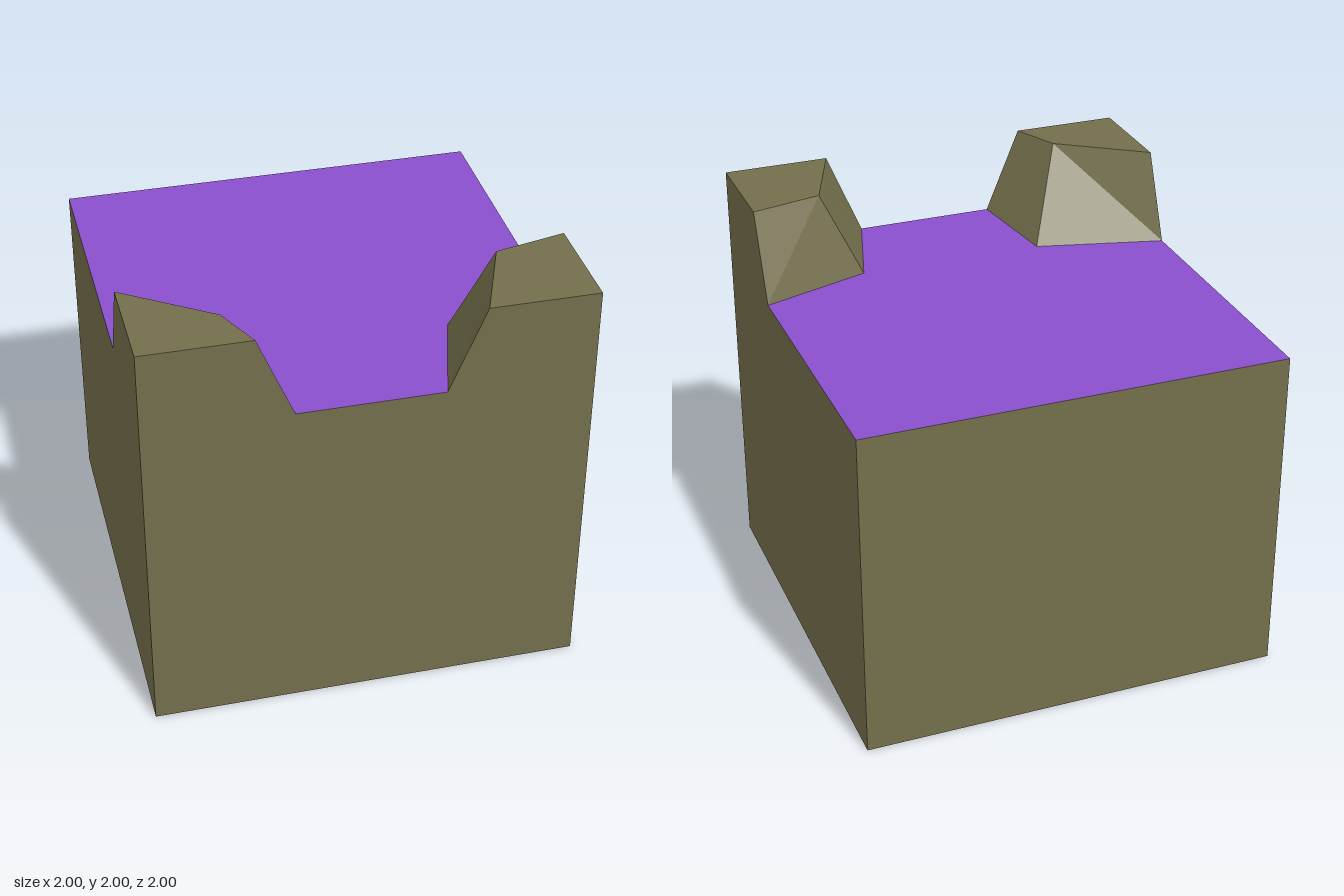
import * as THREE from 'three';

const BASE_Y = 1.6, TOP_Y = 2, THIRD = 0.333;

// Tapered corner block; side is +1 or -1 in x, inner corners are [|x|, z]
function cornerBlock(side, innerBase, innerTop) {
  const ring = (y, edge, inner) =>
    [[1, edge], inner, [edge, 1], [1, 1]].flatMap(([x, z]) => [side * x, y, z]);
  const points = [...ring(BASE_Y, THIRD, innerBase), ...ring(TOP_Y, 0.5, innerTop)];
  const faces = [
    [0, 1, 5], [0, 5, 4], // back slope
    [1, 2, 5], [2, 6, 5], // inner slope
    [2, 3, 7], [2, 7, 6], // front wall
    [3, 0, 4], [3, 4, 7], // outer wall
    [4, 5, 6], [4, 6, 7], // top
  ];
  const index = faces.flatMap(([a, b, c]) => (side > 0 ? [a, b, c] : [a, c, b]));
  const indexed = new THREE.BufferGeometry();
  indexed.setAttribute('position', new THREE.Float32BufferAttribute(points, 3));
  indexed.setIndex(index);
  const geometry = indexed.toNonIndexed();
  geometry.computeVertexNormals();
  return geometry;
}

export function createModel() {
  const group = new THREE.Group();
  group.name = 'cornerTile';

  const olive = new THREE.MeshStandardMaterial({ color: 0x736e4b });
  olive.name = 'olive stone';
  const purple = new THREE.MeshStandardMaterial({ color: 0x8a4fcc });
  purple.name = 'purple ground';

  const add = (name, geometry, material) => {
    const mesh = new THREE.Mesh(geometry, material);
    mesh.name = name;
    group.add(mesh);
    return mesh;
  };

  // Main block with a purple top face
  add('baseBlock', new THREE.BoxGeometry(2, BASE_Y, 2),
    [olive, olive, purple, olive, olive, olive]).position.y = BASE_Y / 2;

  // Raised blocks on the two front corners
  add('leftCorner', cornerBlock(1, [0.48, 0.505], [0.665, 0.575]), olive);
  add('rightCorner', cornerBlock(-1, [0.4, 0.49], [0.6, 0.78]), olive);

  return group;
}
